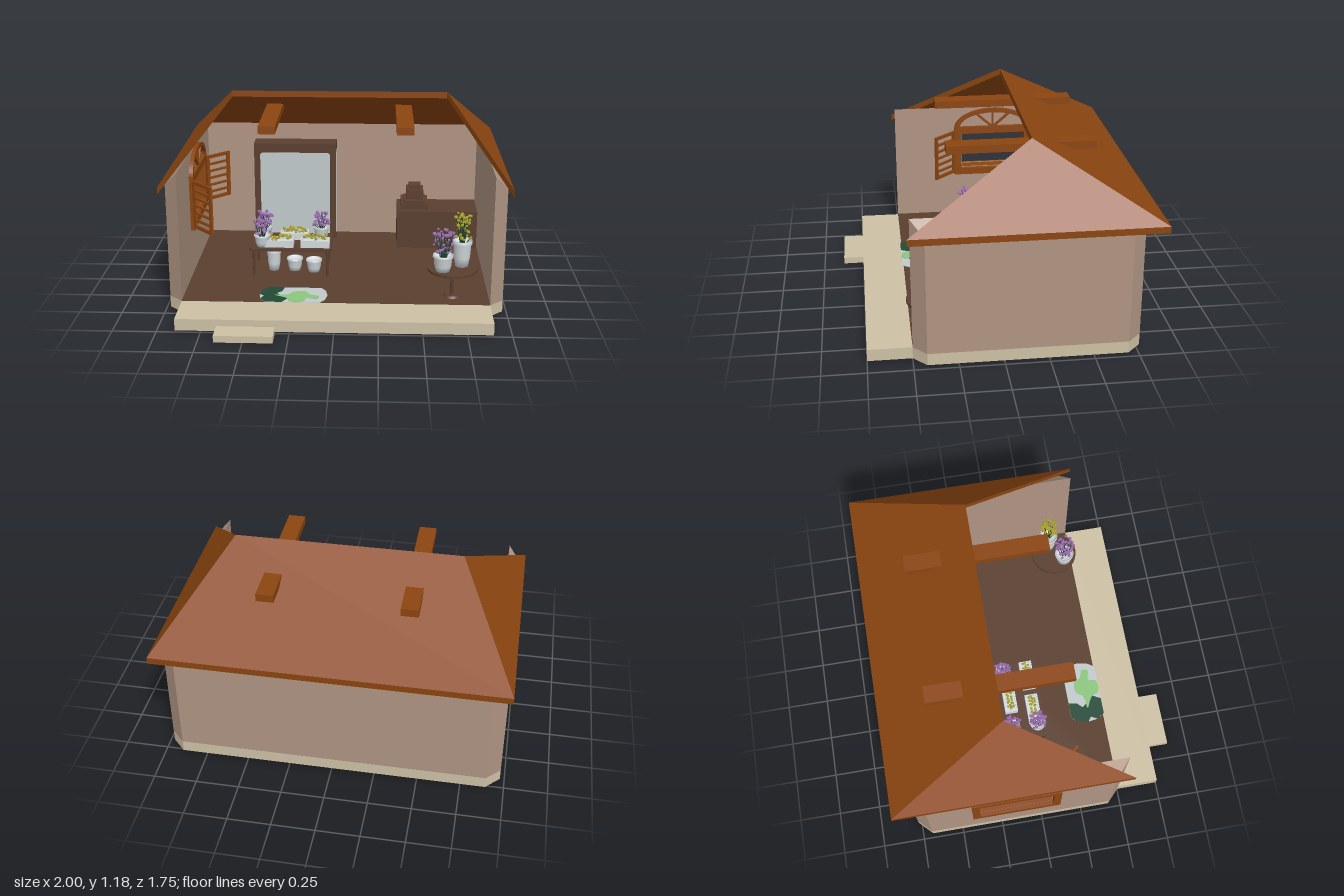
import * as THREE from 'three';
import { mergeGeometries } from 'three/addons/utils/BufferGeometryUtils.js';

const mat = (name, color, both) => {
  const m = new THREE.MeshStandardMaterial({ color });
  m.name = name;
  if (both) m.side = THREE.DoubleSide;
  return m;
};

export function createModel() {
  const M = {
    wall: mat('plaster', 0xaf9482, true), stone: mat('pale stone', 0xcdc0a4),
    wood: mat('orange wood', 0x8b4510), dark: mat('dark wood', 0x5a3f2f),
    glass: mat('glass', 0xc2cacc), white: mat('white ceramic', 0xd3dadd),
    purple: mat('purple petals', 0x9a6cae), yellow: mat('yellow blossom', 0xaaa32c),
    deep: mat('deep green', 0x234a36), light: mat('light green', 0x8cc77e),
  };
  const root = new THREE.Group();
  root.name = 'flowerShop';
  const add = (name, geo, m, x = 0, y = 0, z = 0, parent = root) => {
    const mesh = new THREE.Mesh(geo, m);
    mesh.name = name;
    mesh.position.set(x, y, z);
    parent.add(mesh);
    return mesh;
  };
  // box given by its limits
  const box = (name, m, x0, x1, y0, y1, z0, z1, parent) =>
    add(name, new THREE.BoxGeometry(x1 - x0, y1 - y0, z1 - z0), m, (x0 + x1) / 2, (y0 + y1) / 2, (z0 + z1) / 2, parent);
  // flat-shaded polygons, fanned into triangles
  const polys = (list) => {
    const pos = [];
    for (const p of list) for (let i = 1; i < p.length - 1; i++) pos.push(...p[0], ...p[i], ...p[i + 1]);
    const g = new THREE.BufferGeometry();
    g.setAttribute('position', new THREE.Float32BufferAttribute(pos, 3));
    g.computeVertexNormals();
    return g;
  };
  // plan outline in x, z raised to a slab
  const slab = (pts, h) => new THREE.ExtrudeGeometry(
    new THREE.Shape(pts.map(([x, z]) => new THREE.Vector2(x, -z))), { depth: h, bevelEnabled: false }).rotateX(-Math.PI / 2);
  const rect = (C, a0, b0, a1, b1) => new C([[a0, b0], [a1, b0], [a1, b1], [a0, b1]].map((p) => new THREE.Vector2(...p)));
  // side outline in z, y pushed outwards to -x
  const sideways = (shape, depth) => new THREE.ExtrudeGeometry(shape, { depth, bevelEnabled: false, curveSegments: 16 }).rotateY(-Math.PI / 2);
  let seed = 7;
  const rnd = () => (seed = (seed * 16807) % 2147483647) / 2147483647;

  // foundation, porch, step and floor
  const outer = [[-0.895, 0.5], [-0.975, 0.425], [-0.975, 0.05], [-0.975, -0.38], [-0.975, -0.69], [-0.895, -0.77],
    [0.895, -0.77], [0.975, -0.69], [0.975, 0.425], [0.895, 0.5]];
  add('foundation', slab(outer, 0.07), M.stone, 0, 0.01);
  box('porch', M.stone, -0.895, 0.895, 0.01, 0.08, 0.5, 0.75);
  box('step', M.stone, -0.66, -0.33, 0, 0.04, 0.75, 0.875);
  box('floor', M.dark, -0.895, 0.895, 0.079, 0.083, -0.69, 0.5);

  // walls follow the underside of the roof; one bay is open for the window
  const top = (x, z) => Math.min(0.74 + (1 - Math.abs(x)) * 1.19, 0.74 + (z + 0.875) * 0.587, 0.85);
  const clampIn = ([x, z]) => [Math.max(-0.895, Math.min(0.895, x)), Math.max(-0.69, z)];
  const wallFaces = [];
  for (let i = 0; i < outer.length - 1; i++) {
    const a = outer[i], b = outer[i + 1], ia = clampIn(a), ib = clampIn(b);
    const at = (p, y) => [p[0], y ?? top(...p), p[1]];
    const bands = i === 2 ? [[0.08, 0.42], [0.66, null]] : [[0.08, null]];
    for (const [y0, y1] of bands) {
      wallFaces.push([at(b, y0), at(a, y0), at(a, y1), at(b, y1)].reverse());
      wallFaces.push([at(ia, y0), at(ib, y0), at(ib, y1), at(ia, y1)].reverse());
    }
    wallFaces.push([at(a), at(ia), at(ib), at(b)].reverse());
  }
  add('walls', polys(wallFaces), M.wall);

  // half hipped roof: back slope and two end triangles, open to the front
  const rim = [[-1, 0.778, 0.52], [-1, 0.778, -0.875], [1, 0.778, -0.875], [1, 0.778, 0.52], [0.655, 1.18, -0.18], [-0.655, 1.18, -0.18]];
  const low = rim.map(([x, y, z]) => [x, y - 0.038, z]);
  const roofFaces = [];
  for (const f of [[0, 5, 1], [1, 5, 4, 2], [2, 4, 3]]) {
    roofFaces.push(f.map((k) => rim[k]), f.map((k) => low[k]).reverse());
  }
  rim.forEach((p, i) => {
    const j = (i + 1) % 6;
    roofFaces.push([p, rim[j], low[j], low[i]]);
  });
  add('roof', polys(roofFaces), M.wood);
  for (const x of [-0.405, 0.395]) box('roofBeam', M.wood, x - 0.05, x + 0.05, 1.025, 1.07, -0.585, 0.265);

  // window frame with fanlight
  const frame = rect(THREE.Shape, -0.425, 0.37, 0.1, 0.71);
  frame.holes.push(rect(THREE.Path, -0.38, 0.415, 0.055, 0.665));
  add('windowFrame', sideways(frame, 0.13), M.wood, -0.87);
  const arch = new THREE.Shape().absellipse(-0.163, 0.7, 0.262, 0.14, 0, Math.PI);
  arch.holes.push(new THREE.Path().absellipse(-0.163, 0.712, 0.225, 0.1, 0, Math.PI));
  add('fanlightArch', sideways(arch, 0.025), M.wood, -0.87);
  for (const a of [-0.85, 0, 0.85]) {
    const len = a ? 0.15 : 0.115;
    const bar = add('fanlightBar', new THREE.BoxGeometry(0.015, len, 0.014), M.wood, -0.882, 0.705 + Math.cos(a) * len / 2, -0.163 + Math.sin(a) * len / 2);
    bar.rotation.x = a;
  }
  // slatted shutters, opened into the room
  for (const [z, dz] of [[-0.425, -0.13], [0.1, 0.14]]) {
    const s = new THREE.Group();
    s.name = 'shutter';
    const len = Math.hypot(0.13, dz);
    for (const x of [0, len - 0.02]) box('shutterStile', M.wood, x, x + 0.02, 0.39, 0.69, -0.008, 0.008, s);
    for (let i = 0; i < 7; i++) {
      const y = 0.39 + i * 0.0467, t = i % 6 ? 0.013 : 0.02;
      box('shutterSlat', M.wood, 0.01, len - 0.01, y, y + t, -0.007, 0.007, s);
    }
    s.position.set(-0.87, 0, z);
    s.rotation.y = -Math.atan2(dz, 0.13);
    root.add(s);
  }

  // glazed cabinet against the back wall
  box('cabinet', M.dark, -0.575, -0.035, 0.083, 0.74, -0.69, -0.56);
  const pane = new THREE.Shape().moveTo(-0.535, 0.095).lineTo(-0.075, 0.095).lineTo(-0.075, 0.66)
    .quadraticCurveTo(-0.075, 0.68, -0.1, 0.68).lineTo(-0.51, 0.68).quadraticCurveTo(-0.535, 0.68, -0.535, 0.66);
  add('cabinetDoor', new THREE.ExtrudeGeometry(pane, { depth: 0.006, bevelEnabled: false }), M.glass, 0, 0, -0.561);
  for (const x of [-0.575, -0.035]) box('cabinetSidePane', M.glass, x - 0.003, x + 0.003, 0.12, 0.68, -0.675, -0.585);

  // counter with stepped till
  box('counter', M.dark, 0.37, 0.89, 0.083, 0.335, -0.66, -0.4);
  box('tillBase', M.dark, 0.395, 0.57, 0.335, 0.378, -0.62, -0.44);
  box('tillBody', M.dark, 0.41, 0.555, 0.378, 0.39, -0.61, -0.45);
  box('tillKeys', M.dark, 0.43, 0.54, 0.39, 0.455, -0.6, -0.48);
  box('tillTop', M.dark, 0.447, 0.523, 0.455, 0.482, -0.59, -0.5);

  // pots and plants
  const pot = (x, y, z, r, h, name = 'pot') => add(name, new THREE.LatheGeometry(
    [[0, 0], [0.65, 0], [0.82, 0.35], [0.9, 0.8], [1, 0.86], [1, 1], [0.85, 1], [0.8, 0.82], [0, 0.82]]
      .map(([a, b]) => new THREE.Vector2(a * r, b * h)), 20), M.white, x, y, z);
  const bouquet = (x, y, z, spread, h, n, m, low = 0.45) => {
    const stems = [], heads = [];
    for (let i = 0; i < n; i++) {
      const a = i * 2.4, r = spread * Math.sqrt((i + 0.5) / n), t = h * (low + (1 - low) * rnd());
      const end = new THREE.Vector3(Math.cos(a) * r, t, Math.sin(a) * r);
      if (i % 3 === 0) stems.push(new THREE.TubeGeometry(new THREE.LineCurve3(new THREE.Vector3(end.x * 0.3, -0.01, end.z * 0.3), end), 1, 0.0025, 4));
      heads.push(new THREE.IcosahedronGeometry(0.008 + 0.005 * rnd(), 0).translate(end.x, end.y, end.z));
    }
    add('stems', mergeGeometries(stems), M.deep, x, y, z);
    add('blossoms', mergeGeometries(heads), m, x, y, z);
  };

  // long flower table
  const rounded = [];
  for (const [cx, cz, a0] of [[-0.06, 0.095, 0], [-0.52, 0.095, 1], [-0.52, -0.16, 2], [-0.06, -0.16, 3]]) {
    for (let k = 0; k < 4; k++) {
      const a = (a0 + k / 3) * Math.PI / 2;
      rounded.push([cx + 0.02 * Math.cos(a), cz + 0.02 * Math.sin(a)]);
    }
  }
  add('flowerTableTop', slab(rounded.reverse(), 0.016), M.dark, 0, 0.245);
  for (const x of [-0.515, -0.065]) for (const z of [-0.155, 0.09]) {
    add('flowerTableLeg', new THREE.CylinderGeometry(0.009, 0.007, 0.165, 8), M.dark, x, 0.165, z);
  }
  for (const [x, z] of [[-0.465, -0.1], [-0.11, -0.1], [-0.465, 0.06]]) {
    pot(x, 0.261, z, 0.05, 0.075);
    bouquet(x, 0.325, z, 0.05, 0.105, 36, M.purple, 0.2);
  }
  for (const [x, z] of [[-0.275, -0.085], [-0.36, 0.05], [-0.14, 0.05]]) {
    const tray = rect(THREE.Shape, -0.088, -0.04, 0.088, 0.04);
    tray.holes.push(rect(THREE.Path, -0.08, -0.032, 0.08, 0.032));
    add('trayRim', new THREE.ExtrudeGeometry(tray, { depth: 0.045, bevelEnabled: false }).rotateX(-Math.PI / 2), M.white, x, 0.261, z);
    box('trayBed', M.white, x - 0.08, x + 0.08, 0.261, 0.292, z - 0.032, z + 0.032);
    const tufts = [];
    for (let i = 0; i < 26; i++) {
      tufts.push(new THREE.IcosahedronGeometry(0.009, 0).translate((i / 25 - 0.5) * 0.14, 0.012 + 0.03 * rnd(), 0.016 * Math.sin(i * 1.5)));
    }
    add('trayPlants', mergeGeometries(tufts), M.yellow, x, 0.292, z);
  }
  pot(-0.4, 0.083, 0, 0.046, 0.135, 'bucket');
  pot(-0.27, 0.083, 0, 0.05, 0.08);
  pot(-0.15, 0.083, 0.02, 0.05, 0.08);

  // round pedestal table with two pots
  add('roundTableTop', new THREE.CylinderGeometry(0.145, 0.145, 0.014, 32), M.dark, 0.68, 0.256, 0.375);
  add('roundTablePole', new THREE.CylinderGeometry(0.01, 0.01, 0.17, 10), M.dark, 0.68, 0.167, 0.375);
  add('roundTableFoot', new THREE.CylinderGeometry(0.04, 0.05, 0.012, 20), M.dark, 0.68, 0.089, 0.375);
  pot(0.735, 0.263, 0.345, 0.058, 0.16, 'tallPot');
  bouquet(0.735, 0.405, 0.345, 0.05, 0.175, 44, M.yellow, 0.15);
  pot(0.62, 0.263, 0.43, 0.06, 0.1);
  bouquet(0.62, 0.345, 0.43, 0.06, 0.175, 48, M.purple, 0.25);

  // rug in three colours
  const rug = [[-0.41, 0.295], [-0.09, 0.295], [-0.06, 0.34], [-0.05, 0.4], [-0.06, 0.46], [-0.09, 0.508], [-0.41, 0.508], [-0.44, 0.46], [-0.45, 0.4], [-0.44, 0.34]];
  add('rug', slab(rug.reverse(), 0.003), M.glass, 0, 0.083);
  const leaf = [[-0.41, 0.296], [-0.31, 0.296], [-0.32, 0.35], [-0.35, 0.38], [-0.32, 0.42], [-0.28, 0.45], [-0.31, 0.507], [-0.41, 0.507], [-0.44, 0.46], [-0.42, 0.42], [-0.449, 0.4], [-0.44, 0.34]];
  add('rugDarkPatch', slab(leaf.reverse(), 0.002), M.deep, 0, 0.0855);
  const blob = new THREE.CatmullRomCurve3([[-0.36, 0.41], [-0.28, 0.4], [-0.25, 0.36], [-0.18, 0.355], [-0.15, 0.4], [-0.1, 0.42], [-0.11, 0.46], [-0.17, 0.45], [-0.19, 0.5], [-0.26, 0.5], [-0.29, 0.45]]
    .map(([x, z]) => new THREE.Vector3(x, 0, z)), true).getPoints(40).slice(0, 40).map((p) => [p.x, p.z]);
  add('rugLightPatch', slab(blob.reverse(), 0.002), M.light, 0, 0.0865);
  return root;
}
